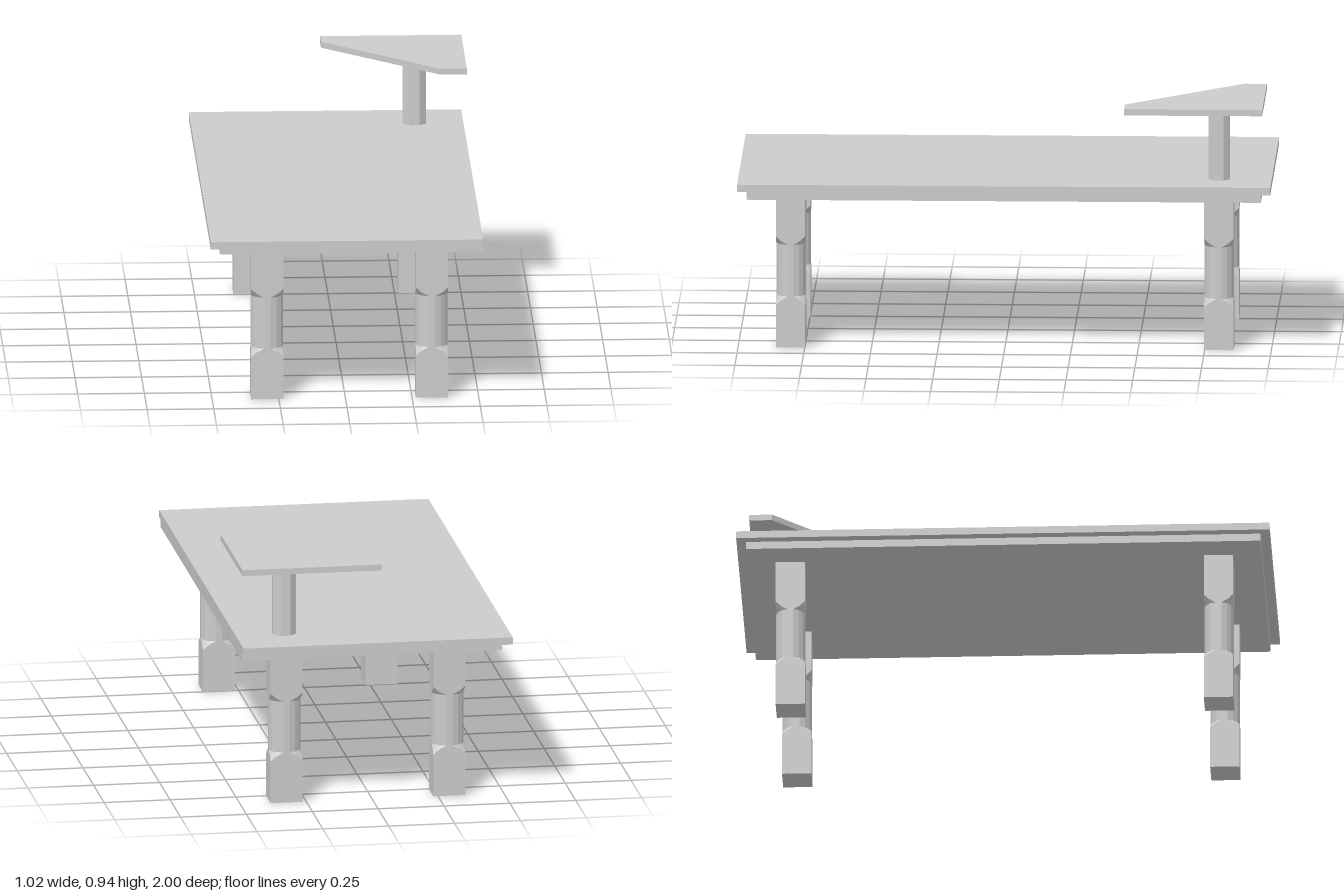
import * as THREE from 'three';

const material = new THREE.MeshStandardMaterial({ color: 0xcccccc, flatShading: true });
const HALF = 0.0605;      // half the leg width
const Z_SCALE = 0.91;     // legs and post are slightly slimmer in z

function addMesh(parent, name, geometry, x = 0, y = 0, z = 0) {
  const mesh = new THREE.Mesh(geometry, material);
  mesh.name = name;
  mesh.position.set(x, y, z);
  parent.add(mesh);
  return mesh;
}

// Square block, chamfered into a 16-sided shaft, then back to a square block
function legGeometry() {
  const angles = [];
  for (let k = 0; k < 16; k++) {
    angles.push((k + 0.5) * Math.PI / 8);
    if (k % 4 === 1) angles.push((k + 1) * Math.PI / 8); // block corner
  }
  const count = angles.length;
  const squareRadius = a => HALF / Math.max(Math.abs(Math.cos(a)), Math.abs(Math.sin(a)));
  const shaftRadius = (a, i) => (i % 5 === 2 ? HALF : HALF / Math.cos(Math.PI / 16));
  const rise = (a, i) => {
    const r0 = HALF / Math.cos(Math.PI / 16);
    return Math.max(0, 0.033 * (squareRadius(a) - r0) / (HALF * Math.SQRT2 - r0));
  };
  const rings = [
    [squareRadius, () => 0],
    [squareRadius, (a, i) => 0.195 - rise(a, i)],
    [shaftRadius, () => 0.195],
    [shaftRadius, () => 0.392],
    [squareRadius, (a, i) => 0.392 + rise(a, i)],
    [squareRadius, () => 0.588],
  ];
  const positions = [];
  for (const [radius, height] of rings) {
    angles.forEach((a, i) => {
      const r = radius(a, i);
      positions.push(r * Math.cos(a), height(a, i), r * Math.sin(a) * Z_SCALE);
    });
  }
  const index = [];
  for (let j = 0; j < rings.length - 1; j++) {
    for (let i = 0; i < count; i++) {
      const a = j * count + i, b = j * count + (i + 1) % count;
      index.push(a, a + count, b, b, a + count, b + count);
    }
  }
  // End caps
  const top = (rings.length - 1) * count;
  for (let i = 1; i < count - 1; i++) {
    index.push(0, i, i + 1, top, top + i + 1, top + i);
  }
  const geometry = new THREE.BufferGeometry();
  geometry.setAttribute('position', new THREE.Float32BufferAttribute(positions, 3));
  geometry.setIndex(index);
  const flat = geometry.toNonIndexed();
  flat.computeVertexNormals();
  return flat;
}

export function createModel() {
  const group = new THREE.Group();
  group.name = 'table';

  // Two-layer top, flush along the +x edge
  addMesh(group, 'tableTop', new THREE.BoxGeometry(1.022, 0.028, 2), 0, 0.63, 0);
  addMesh(group, 'underTop', new THREE.BoxGeometry(0.986, 0.029, 1.93), 0.018, 0.6015, 0);

  // Four legs
  const leg = legGeometry();
  for (const [side, x] of [['Right', -0.293], ['Left', 0.325]]) {
    for (const [end, z] of [['front', 0.803], ['back', -0.803]]) {
      addMesh(group, `${end}${side}Leg`, leg, x, 0, z);
    }
  }

  // Octagonal post carrying the raised corner shelf
  const post = new THREE.CylinderGeometry(0.047, 0.047, 0.275, 8);
  post.rotateY(Math.PI / 8);
  post.scale(1, 1, Z_SCALE);
  addMesh(group, 'shelfPost', post, 0.326, 0.7805, -0.803);

  // Corner shelf with clipped tips
  const outline = new THREE.Shape([
    [-0.02, -0.97], [0.51, -0.97], [0.51, -0.452], [0.41, -0.452], [-0.02, -0.884],
  ].map(([x, z]) => new THREE.Vector2(x, z)));
  const shelf = new THREE.ExtrudeGeometry(outline, { depth: 0.023, bevelEnabled: false });
  shelf.rotateX(Math.PI / 2);
  addMesh(group, 'cornerShelf', shelf, 0, 0.94, 0);

  return group;
}
